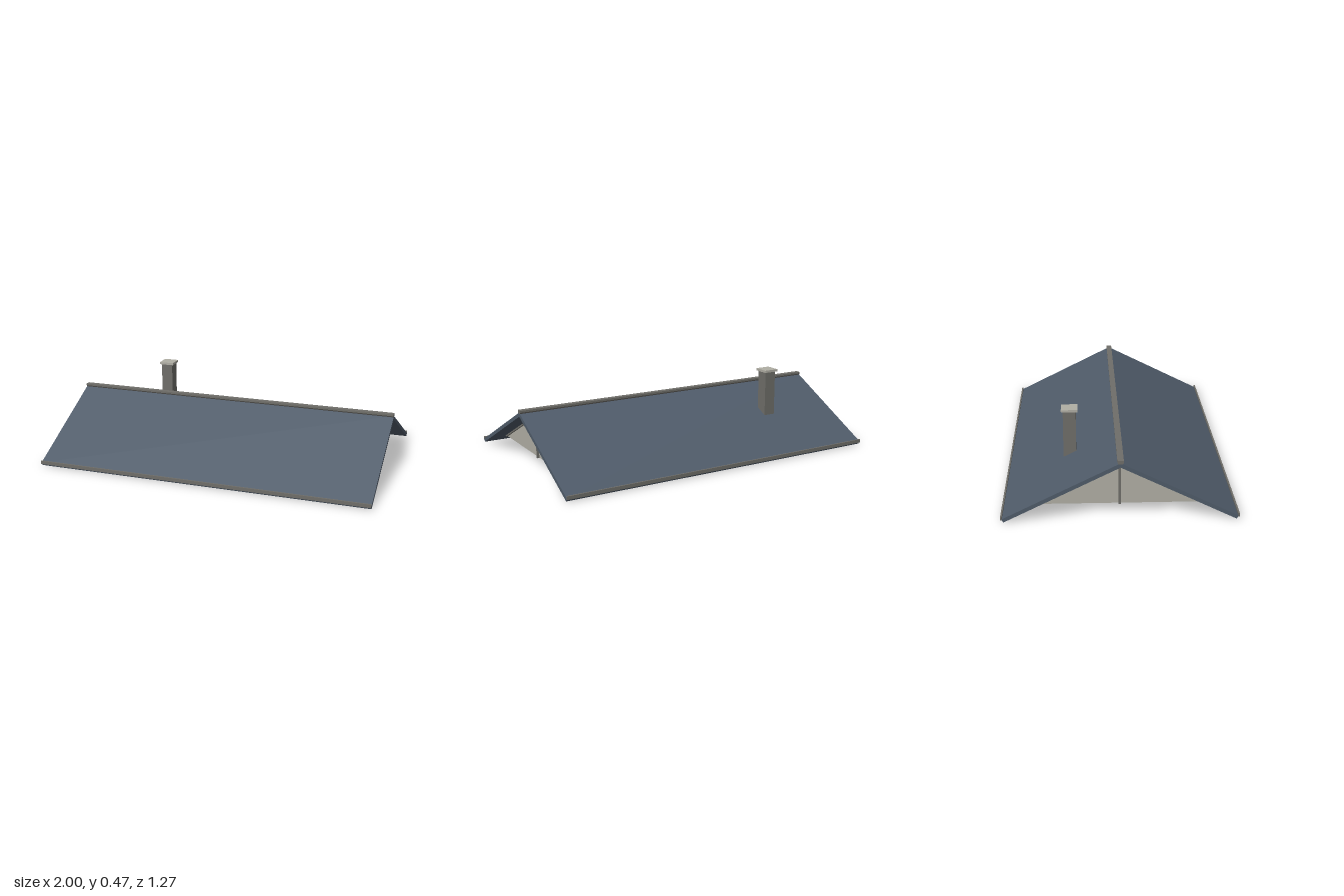
import * as THREE from 'three';

const mat = (name, color) => Object.assign(new THREE.MeshStandardMaterial({ color }), { name });

export function createModel() {
  const slate = mat('slate roof', 0x4f5b69);
  const grey = mat('grey trim', 0x6f6e69);
  const plaster = mat('pale plaster', 0xb0aea4);
  const model = new THREE.Group();
  model.name = 'gableRoof';

  const add = (name, geometry, material, x = 0, y = 0, z = 0) => {
    const mesh = new THREE.Mesh(geometry, material);
    mesh.name = name;
    mesh.position.set(x, y, z);
    model.add(mesh);
    return mesh;
  };
  const box = (name, material, [w, h, d], [x, y, z]) =>
    add(name, new THREE.BoxGeometry(w, h, d), material, x, y, z);

  // Extrudes a [z, y] outline along x, between x0 and x1
  const prism = (name, material, points, x0, x1) => {
    const shape = new THREE.Shape(points.map(([z, y]) => new THREE.Vector2(-z, y)));
    const geometry = new THREE.ExtrudeGeometry(shape, { depth: x1 - x0, bevelEnabled: false });
    geometry.rotateY(Math.PI / 2);
    return add(name, geometry, material, x0);
  };

  for (const s of [1, -1]) {
    // Sloping roof panel and the eave strip along its lower edge
    prism('roofPanel', slate, [[0, 0.333], [s * 0.628, 0.019], [s * 0.619, 0], [0, 0.309]], -1, 1);
    box('eaveStrip', grey, [2, 0.02, 0.009], [0, 0.022, s * 0.63]);
  }

  // Ridge capping with a narrow foot
  prism('ridgeCap', grey, [
    [-0.017, 0.346], [-0.017, 0.335], [-0.011, 0.326], [0.011, 0.326], [0.017, 0.335], [0.017, 0.346],
  ], -1, 1);

  // Gable walls with rake boards and a central post at both ends
  for (const s of [1, -1]) {
    const span = (a, b) => [Math.min(s * a, s * b), Math.max(s * a, s * b)];
    prism('gableWall', plaster, [[-0.519, 0.05], [0.519, 0.05], [0, 0.309]], ...span(0.85, 0.89));
    box('gablePost', grey, [0.02, 0.255, 0.011], [s * 0.893, 0.175, 0]);
    for (const t of [1, -1]) {
      prism('rakeBoard', grey,
        [[0, 0.309], [t * 0.519, 0.05], [t * 0.499, 0.05], [0, 0.299]], ...span(0.885, 0.9));
    }
  }

  // Chimney passing through the rear panel
  box('chimneyStack', grey, [0.072, 0.388, 0.072], [-0.535, 0.262, -0.268]);
  box('chimneyCap', plaster, [0.092, 0.014, 0.092], [-0.535, 0.46, -0.268]);

  return model;
}
